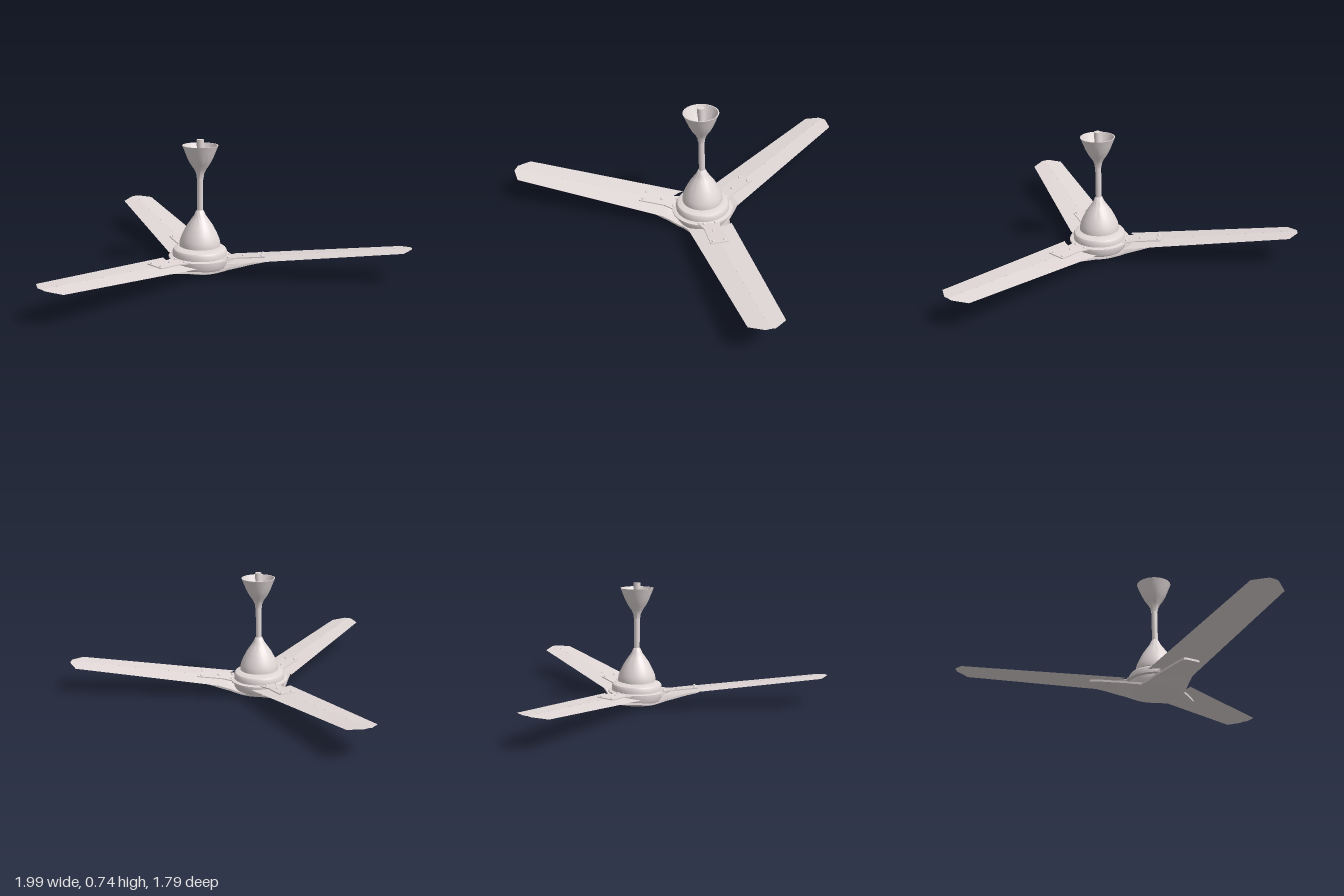
import * as THREE from 'three';
import { toCreasedNormals } from 'three/addons/utils/BufferGeometryUtils.js';

const mat = new THREE.MeshStandardMaterial({ color: 0xe2d8d8, side: THREE.DoubleSide });
const lerp = THREE.MathUtils.lerp;

function part(name, geometry, parent, x = 0, y = 0, z = 0) {
  const mesh = new THREE.Mesh(geometry, mat);
  mesh.name = name;
  mesh.position.set(x, y, z);
  parent.add(mesh);
  return mesh;
}

// turned part from [radius, height] pairs, listed bottom to top
function turned(points, segments = 48) {
  const g = new THREE.LatheGeometry(points.map(([r, y]) => new THREE.Vector2(r, y)), segments);
  return toCreasedNormals(g, 0.6);
}

// surface over a grid: at(i, j) returns [x, y, z]
function sheet(nu, nv, at) {
  const pos = [], index = [];
  for (let j = 0; j <= nv; j++) for (let i = 0; i <= nu; i++) pos.push(...at(i, j));
  for (let j = 0; j < nv; j++) for (let i = 0; i < nu; i++) {
    const a = j * (nu + 1) + i, b = a + 1, c = a + nu + 1, d = c + 1;
    index.push(a, b, d, a, d, c);
  }
  const g = new THREE.BufferGeometry();
  g.setAttribute('position', new THREE.Float32BufferAttribute(pos, 3));
  g.setIndex(index);
  return g;
}

// long blade pointing to -z: arc at the root, chamfered tip, ridge along the middle
function bladeGeometry() {
  const nu = 24, nv = 16;
  const g = sheet(nu, nv, (i, j) => {
    const u = i / nu, v = j / nv;
    const rootX = lerp(-0.118, 0.135, u), tipX = lerp(-0.08, 0.11, u);
    const rootR = Math.sqrt(0.205 ** 2 - rootX ** 2);
    const tipR = 1.09 + 0.05 * Math.min(1, (0.095 - Math.abs(tipX - 0.015)) / 0.07);
    const fold = Math.abs(u - 0.5) * 2;
    return [lerp(rootX, tipX, v), -0.007 * fold, -lerp(rootR, tipR, v)];
  });
  return toCreasedNormals(g, 0.05);
}

// flat plate that clamps the blade to the motor
function bracketGeometry() {
  const s = new THREE.Shape();
  s.moveTo(-0.06, 0.13);
  s.lineTo(0.075, 0.13);
  s.lineTo(0.055, 0.22);
  s.lineTo(0.065, 0.36);
  s.quadraticCurveTo(0.065, 0.37, 0.055, 0.37);
  s.lineTo(-0.03, 0.37);
  s.quadraticCurveTo(-0.04, 0.37, -0.04, 0.36);
  s.lineTo(-0.035, 0.22);
  s.closePath();
  const g = new THREE.ExtrudeGeometry(s, { depth: 0.006, bevelEnabled: false });
  return g.rotateX(-Math.PI / 2);
}

// three-armed dished cover under the hub, arms lined up with the blades
function coverGeometry() {
  const n = 144, third = Math.PI * 2 / 3;
  const depth = [[0, 0], [0.08, 0.006], [0.15, 0.022], [0.2, 0.044], [0.3, 0.068], [0.4, 0.084]];
  const bottom = r => {
    let k = 1;
    while (k < depth.length - 1 && r > depth[k][0]) k++;
    const [r0, y0] = depth[k - 1], [r1, y1] = depth[k];
    return lerp(y0, y1, (r - r0) / (r1 - r0));
  };
  const rings = 12;
  const g = sheet(n, rings + 1, (i, j) => {
    const a = i / n * Math.PI * 2;
    const p = a - Math.round(a / third) * third;
    const rim = Math.min(0.37 / Math.cos(p), 0.158 / (Math.abs(Math.sin(p)) + 0.3 * Math.cos(p)));
    const r = rim * Math.min(1, j / rings);
    const y = bottom(r) + (j > rings ? 0.012 : 0);
    return [Math.sin(a) * r, y, -Math.cos(a) * r];
  });
  return toCreasedNormals(g, 0.5);
}

export function createModel() {
  const fan = new THREE.Group();
  fan.name = 'ceilingFan';
  const hub = new THREE.Group();
  hub.name = 'hub';
  hub.position.set(0.02, 0, 0.24);
  fan.add(hub);

  // hanging rod and the two canopies
  part('downrod', new THREE.CylinderGeometry(0.017, 0.017, 0.6, 24), hub, 0, 0.435, 0);
  part('rodTop', new THREE.CylinderGeometry(0.02, 0.02, 0.035, 24), hub, 0, 0.718, 0);
  part('ceilingCup', turned([
    [0.019, 0.525], [0.022, 0.55], [0.034, 0.575], [0.053, 0.602], [0.07, 0.635],
    [0.084, 0.67], [0.098, 0.705], [0.092, 0.705], [0.065, 0.64], [0.03, 0.58], [0.017, 0.57],
  ]), hub);
  part('lowerCanopy', turned([
    [0.08, 0.148], [0.113, 0.148], [0.113, 0.16], [0.108, 0.185], [0.093, 0.22], [0.072, 0.26],
    [0.05, 0.292], [0.032, 0.318], [0.022, 0.342], [0.017, 0.347],
  ]), hub);

  // motor housing
  part('motorHousing', turned([
    [0, 0.03], [0.14, 0.03], [0.15, 0.045], [0.15, 0.08], [0.172, 0.082], [0.172, 0.09],
    [0.15, 0.094], [0.15, 0.12], [0.143, 0.131], [0.122, 0.139], [0.085, 0.139], [0.085, 0.15], [0, 0.15],
  ]), hub);
  part('bottomCover', coverGeometry(), hub);

  // three blade assemblies, pitched and rising outwards
  const blade = bladeGeometry(), bracket = bracketGeometry();
  const screw = new THREE.SphereGeometry(0.009, 12, 6, 0, Math.PI * 2, 0, Math.PI / 2);
  const screws = [[-0.02, 0.35], [0.045, 0.35], [0.012, 0.245], [-0.025, 0.165], [0.04, 0.165]];
  const rivet = new THREE.CylinderGeometry(0.003, 0.003, 0.002, 6);
  [0, 121, 241.7].forEach((degrees, i) => {
    const arm = new THREE.Group();
    arm.name = 'bladeArm' + (i + 1);
    arm.rotation.y = -THREE.MathUtils.degToRad(degrees);
    hub.add(arm);
    const tilt = new THREE.Group();
    tilt.name = 'pitchedBlade';
    tilt.position.y = 0.068;
    tilt.rotation.set(0.103, 0, 0.058);
    arm.add(tilt);
    part('blade', blade, tilt);
    part('bracket', bracket, tilt, 0, 0.001, 0);
    for (const [x, r] of screws) part('screw', screw, tilt, x, 0.007, -r);
    for (let r = 0.45; r < 1.08; r += 0.1) part('rivet', rivet, tilt, 0.012, 0.001, -r);
  });
  return fan;
}
